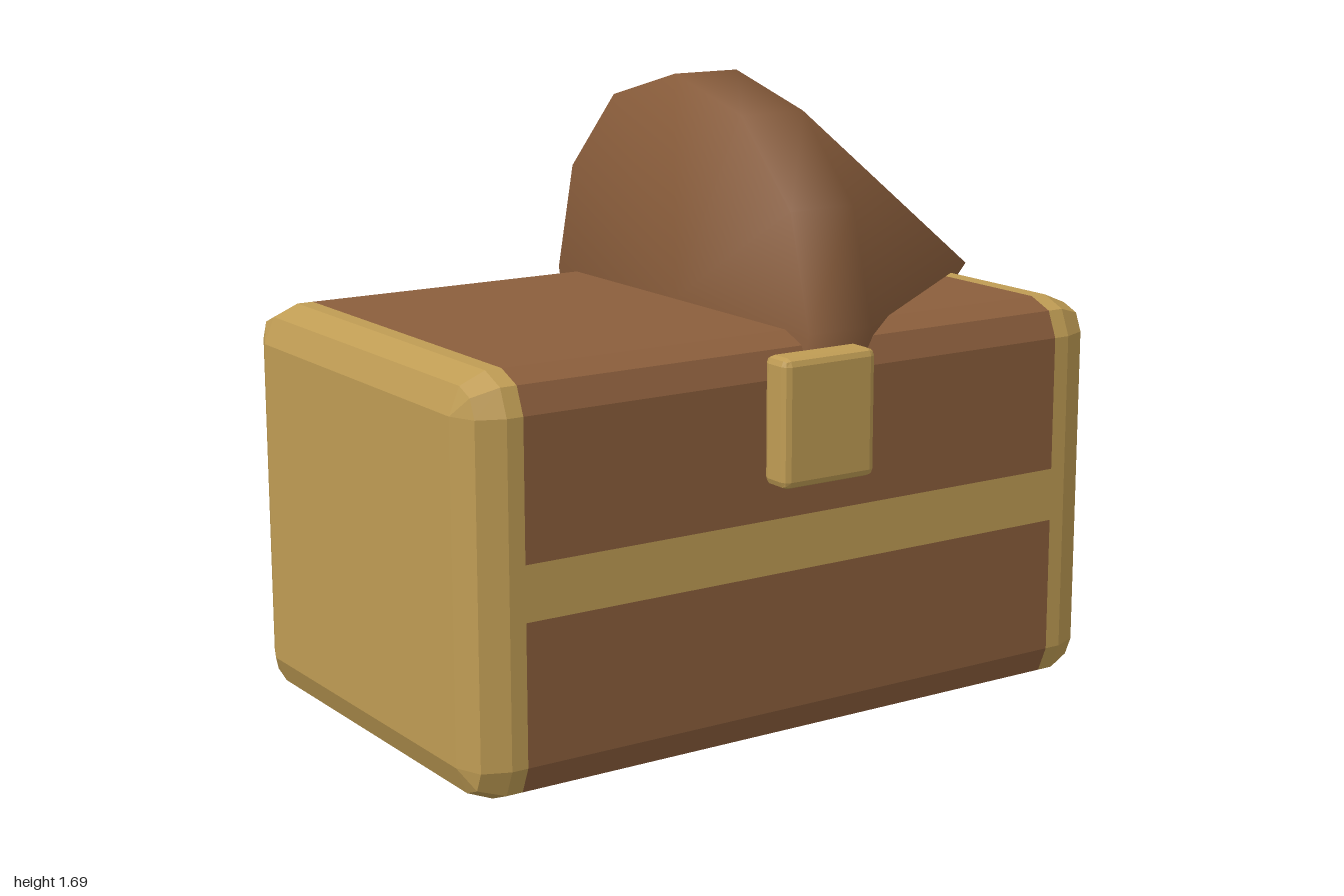
import * as THREE from 'three';
import { mergeVertices } from 'three/addons/utils/BufferGeometryUtils.js';
import { RoundedBoxGeometry } from 'three/addons/geometries/RoundedBoxGeometry.js';

const CX = -0.02, CZ = -0.05; // centre of the chest

// Cross-section of the bevelled box (16 points), with corners rounded by r
function section(x, r) {
  const pts = [];
  const add = (z, y) => pts.push([x, y, z]);
  const corner = (z, y, start) => {
    for (let k = 0; k < 3; k++) {
      const a = start + k * Math.PI / 4;
      add(z + r * Math.cos(a), y + r * Math.sin(a));
    }
  };
  const zf = CZ + 0.51, zb = CZ - 0.51, lo = 0.1, hi = 0.98;
  corner(zf, hi, 0);
  corner(zb, hi, Math.PI / 2);
  add(zb - r, 0.615);
  add(zb - r, 0.47);
  corner(zb, lo, Math.PI);
  corner(zf, lo, Math.PI * 1.5);
  add(zf + r, 0.47);
  add(zf + r, 0.615);
  return pts;
}

function geometryFrom(positions) {
  const g = new THREE.BufferGeometry();
  g.setAttribute('position', new THREE.Float32BufferAttribute(positions, 3));
  g.computeVertexNormals();
  return g;
}

export function createModel() {
  const wood = new THREE.MeshStandardMaterial({ color: 0x8b5e3c });
  wood.name = 'brown wood';
  const brass = new THREE.MeshStandardMaterial({ color: 0xbf9c54 });
  brass.name = 'brass';
  // smooth lid uses the wood colour; flat look of the box comes from unshared corners
  const group = new THREE.Group();
  const add = (name, geometry, material) => {
    const mesh = new THREE.Mesh(geometry, material);
    mesh.name = name;
    group.add(mesh);
    return mesh;
  };

  // Chest body: loft along x, faces sorted into wooden panels and brass straps
  const r = 0.1, s = r * Math.SQRT1_2;
  const stations = [
    [-1, 0], [-0.9 - s, s], [-0.9, r], [-0.855, r],
    [0.81, r], [0.857, r], [0.857 + s, s], [0.957, 0],
  ];
  const rings = stations.map(([x, rad]) => section(x, rad));
  const n = rings[0].length;
  const woodFaces = [], brassFaces = [];
  for (let i = 0; i < rings.length - 1; i++) {
    for (let j = 0; j < n; j++) {
      const k = (j + 1) % n;
      const a = rings[i][j], b = rings[i + 1][j], c = rings[i + 1][k], d = rings[i][k];
      const band = j === 6 || j === 14;
      const underside = j === 10 && i >= 2 && i <= 4;
      const isWood = (i === 3 && !band) || underside;
      (isWood ? woodFaces : brassFaces).push(...a, ...b, ...c, ...a, ...c, ...d);
    }
  }
  // Flat ends
  const first = rings[0], last = rings[rings.length - 1];
  for (let j = 1; j < n - 1; j++) {
    brassFaces.push(...first[0], ...first[j], ...first[j + 1]);
    brassFaces.push(...last[0], ...last[j + 1], ...last[j]);
  }
  add('woodPanels', geometryFrom(woodFaces), wood);
  add('brassStraps', geometryFrom(brassFaces), brass);

  // Lid: a smooth twelve-sided drum tapering to a point along +x
  const profile = [[0, 0], [0.61, 0], [0.61, 0.2], [0, 1.02]].map(p => new THREE.Vector2(...p));
  let lidGeo = new THREE.LatheGeometry(profile, 12);
  lidGeo.deleteAttribute('normal');
  lidGeo.deleteAttribute('uv');
  lidGeo = mergeVertices(lidGeo, 1e-4);
  lidGeo.computeVertexNormals();
  lidGeo.rotateZ(-Math.PI / 2);
  add('lid', lidGeo, wood).position.set(CX, 1.08, CZ);

  // Clasp on the front
  const claspGeo = new RoundedBoxGeometry(0.285, 0.335, 0.095, 1, 0.02).toNonIndexed();
  claspGeo.computeVertexNormals();
  add('clasp', claspGeo, brass).position.set(CX, 0.883, 0.6125);

  return group;
}
